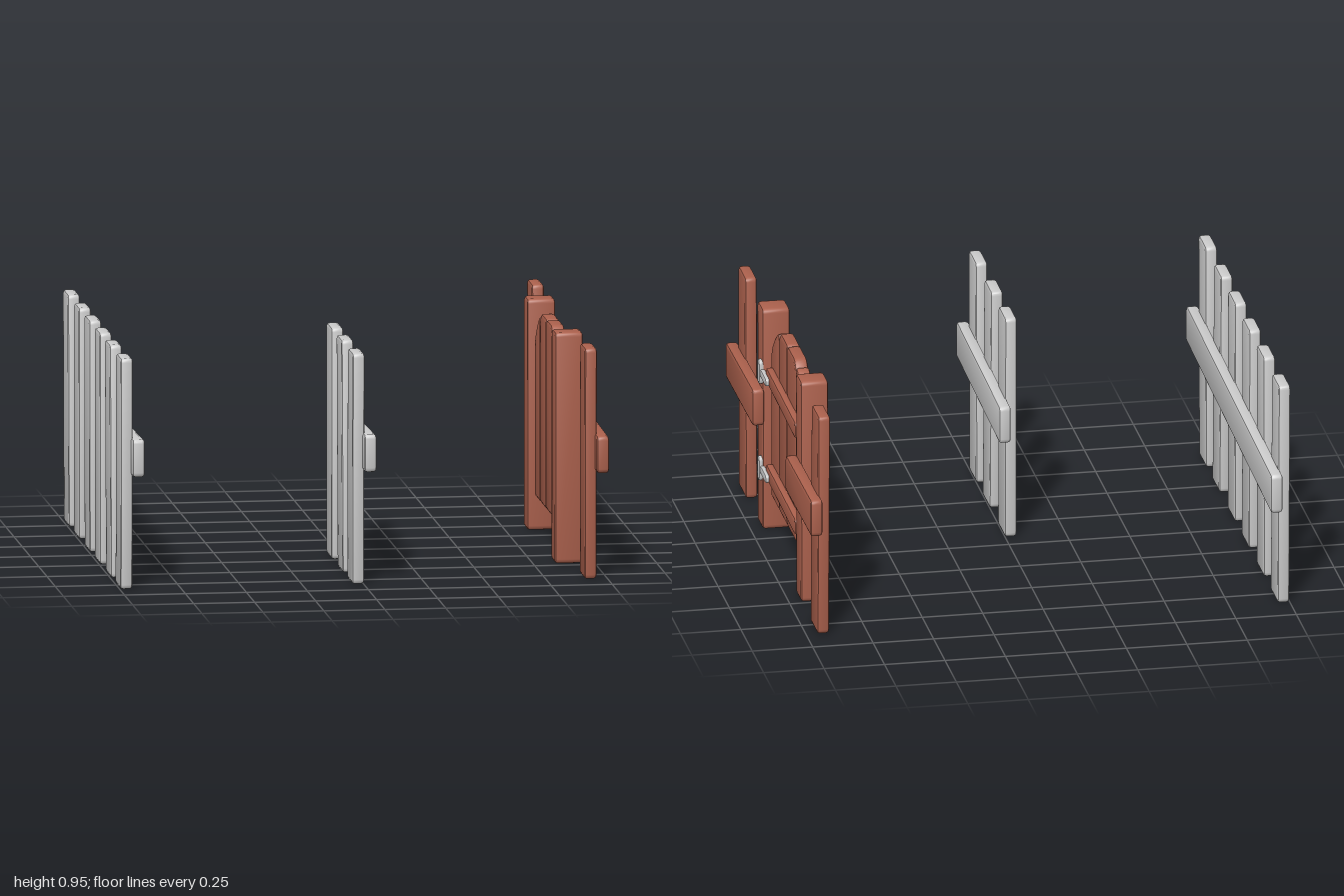
import * as THREE from 'three';
import { toCreasedNormals } from 'three/addons/utils/BufferGeometryUtils.js';

const grey = new THREE.MeshStandardMaterial({ color: 0xcccccc });
const wood = new THREE.MeshStandardMaterial({ color: 0xac614d });

// Board outlined by [z, y] corners (any number), thick from x0 to x1, with rounded edges
function board(name, material, corners, x0, x1, bevel = 0.012, radius = 0.018) {
  const pts = corners.map(([z, y]) => new THREE.Vector2(-z, y));
  const n = pts.length;
  const shape = new THREE.Shape();
  pts.forEach((p, i) => {
    const prev = pts[(i + n - 1) % n], next = pts[(i + 1) % n];
    const toward = (q) => p.clone().lerp(q, Math.min(0.4, radius / p.distanceTo(q)));
    const a = toward(prev), b = toward(next);
    if (i === 0) shape.moveTo(a.x, a.y);
    else shape.lineTo(a.x, a.y);
    shape.quadraticCurveTo(p.x, p.y, b.x, b.y);
  });
  shape.closePath();
  const geo = new THREE.ExtrudeGeometry(shape, {
    depth: x1 - x0 - 2 * bevel, bevelEnabled: true, bevelThickness: bevel,
    bevelSize: bevel, bevelOffset: -bevel, bevelSegments: 2, curveSegments: 3,
  });
  geo.translate(0, 0, x0 + bevel);
  geo.rotateY(Math.PI / 2);
  const mesh = new THREE.Mesh(toCreasedNormals(geo, 0.7), material);
  mesh.name = name;
  return mesh;
}

// Upright: centre z at top and bottom, leaning between them
const upright = (name, mat, zTop, zBottom, width, x0, x1) => board(name, mat, [
  [zBottom + width / 2, 0.004], [zBottom - width / 2, 0.004],
  [zTop - width / 2, 0.956], [zTop + width / 2, 0.956]], x0, x1);

// Rail: runs from zA to zB, with [low, high] y at each end
const rail = (name, mat, zA, [lowA, highA], zB, [lowB, highB], x0, x1, bevel) =>
  board(name, mat, [[zA, lowA], [zB, lowB], [zB, highB], [zA, highA]], x0, x1, bevel);

// Leaning picket positions [top z, bottom z]
const pickets = [[0.80, 0.785], [0.46, 0.495], [0.152, 0.158],
  [-0.162, -0.152], [-0.473, -0.48], [-0.81, -0.785]];

function fence(name, count, x, zEnd, endHeights) {
  const g = new THREE.Group();
  g.name = name;
  pickets.slice(0, count).forEach(([t, b]) =>
    g.add(upright('picket', grey, t, b, 0.157, x, x + 0.05)));
  g.add(rail('fenceRail', grey, 0.93, [0.475, 0.63], zEnd, endHeights, x + 0.042, x + 0.092));
  return g;
}

function gateSection() {
  const g = new THREE.Group();
  g.name = 'gateSection';

  // End pickets, posts and their rails
  g.add(upright('endPicket', wood, 0.80, 0.785, 0.157, 0.905, 0.955));
  g.add(upright('endPicket', wood, -0.81, -0.785, 0.157, 0.905, 0.955));
  g.add(upright('gatePost', wood, 0.415, 0.407, 0.115, 0.838, 0.952));
  g.add(upright('gatePost', wood, -0.428, -0.437, 0.113, 0.838, 0.952));
  g.add(rail('sideRail', wood, 0.94, [0.45, 0.603], 0.345, [0.457, 0.615], 0.946, 0.996));
  g.add(rail('sideRail', wood, -0.375, [0.45, 0.605], -0.937, [0.457, 0.613], 0.946, 0.996));

  // Gate leaf with arched top
  const gate = new THREE.Group();
  gate.name = 'gate';
  g.add(gate);
  const outer = (zOut, zIn) => {
    const at = (f) => zOut + (zIn - zOut) * f;
    return [[zIn, 0.15], [zIn, 0.915], [at(0.8), 0.905], [at(0.48), 0.868],
      [at(0.2), 0.825], [at(0.05), 0.79], [zOut, 0.745], [zOut, 0.15]];
  };
  const inner = (zOut, zIn) => [[zIn, 0.15], [zIn, 0.934], [zOut + (zIn - zOut) * 0.2, 0.934],
    [zOut, 0.9], [zOut, 0.15]];
  // left-hand outlines are listed backwards to keep one winding
  [outer(0.347, 0.181).reverse(), inner(0.178, -0.001).reverse(),
    inner(-0.193, -0.004), outer(-0.355, -0.197)].forEach((c) =>
    gate.add(board('gatePlank', wood, c, 0.864, 0.919)));

  // Cross braces and hinges
  for (const y of [0.687, 0.267]) {
    gate.add(rail('gateBrace', wood, 0.318, [y - 0.027, y + 0.037],
      -0.325, [y - 0.037, y + 0.033], 0.913, 0.947, 0.01));
    const hinge = new THREE.Group();
    hinge.name = 'hinge';
    hinge.add(rail('hingePlate', grey, 0.397, [y - 0.055, y + 0.048],
      0.358, [y - 0.055, y + 0.048], 0.945, 0.966, 0.005));
    hinge.add(rail('hingeStrap', grey, 0.365, [y - 0.02, y + 0.013],
      0.235, [y - 0.02, y + 0.013], 0.942, 0.962, 0.005));
    gate.add(hinge);
  }
  return g;
}

export function createModel() {
  const model = new THREE.Group();
  model.name = 'fenceSet';
  model.add(fence('longFence', 6, -0.998, -0.94, [0.425, 0.59]));
  model.add(fence('shortFence', 3, -0.048, -0.018, [0.45, 0.607]));
  model.add(gateSection());
  return model;
}
